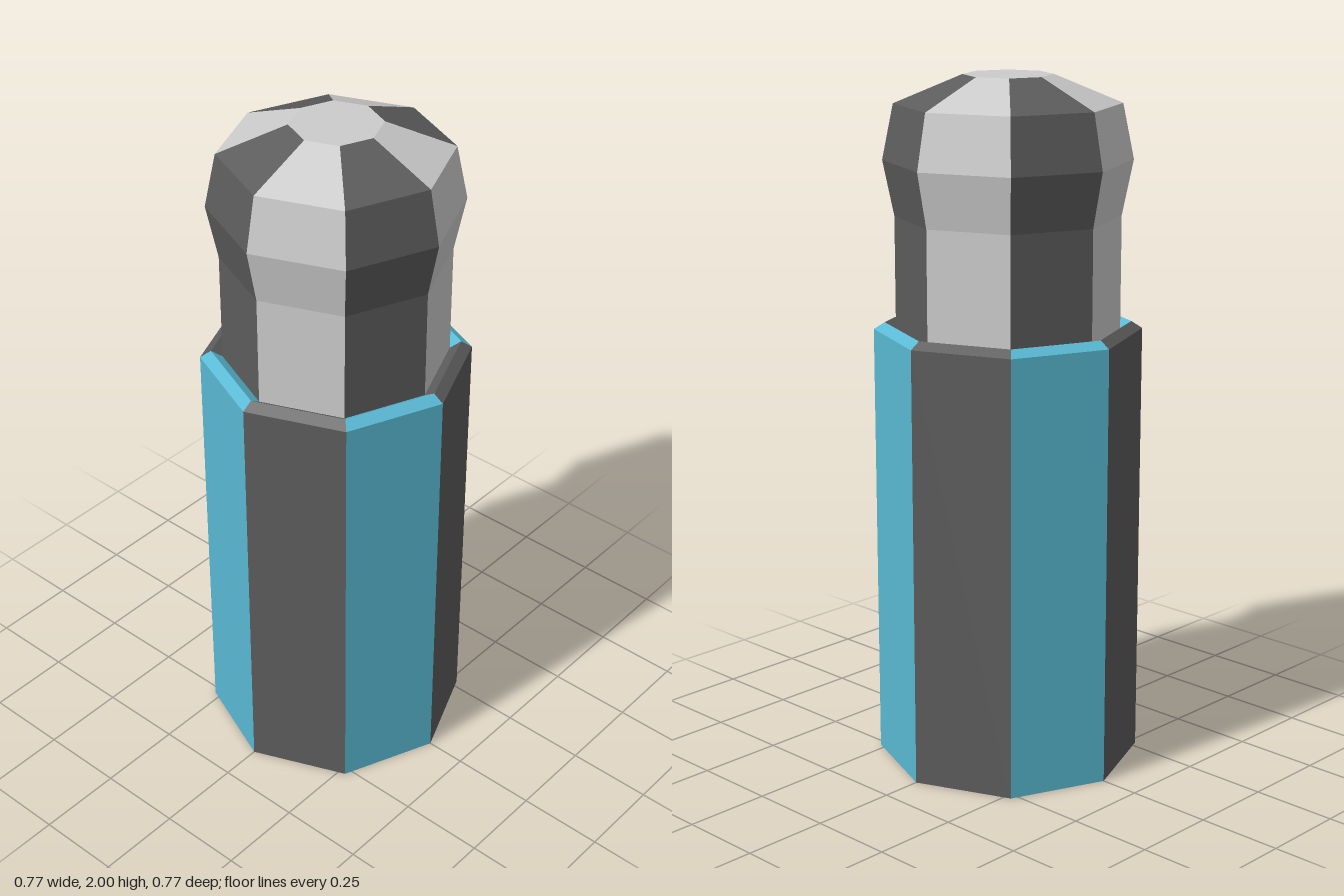
import * as THREE from 'three';
import { mergeGeometries } from 'three/addons/utils/BufferGeometryUtils.js';

const SIDES = 8;
const STEP = (Math.PI * 2) / SIDES;

// Every second facet of an octagonal lathe, starting at facet 0 or 1
function facets(profile, start) {
  const points = profile.map(([r, y]) => new THREE.Vector2(r, y));
  const parts = [];
  for (let i = start; i < SIDES; i += 2) {
    parts.push(new THREE.LatheGeometry(points, 1, i * STEP, STEP));
  }
  return mergeGeometries(parts);
}

export function createModel() {
  const model = new THREE.Group();
  const paint = (color) => new THREE.MeshStandardMaterial({ color, flatShading: true });
  const light = paint(0xcccccc);
  const dark = paint(0x5c5c5c);
  const blue = paint(0x59b9d3);

  const add = (parent, name, geometry, material) => {
    const mesh = new THREE.Mesh(geometry, material);
    mesh.name = name;
    parent.add(mesh);
    return mesh;
  };

  // Body: hollowed foot, straight sides and a bevelled rim
  const body = new THREE.Group();
  body.name = 'body';
  const bodyProfile = [[0.265, 0.07], [0.383, 0], [0.383, 1.28], [0.352, 1.3], [0.32, 1.28]];
  add(body, 'bodyDarkPanels', facets(bodyProfile, 0), dark);
  add(body, 'bodyBluePanels', facets(bodyProfile, 1), blue);
  const base = add(body, 'baseRecess', new THREE.CircleGeometry(0.265, SIDES), blue);
  base.rotation.x = Math.PI / 2;
  base.position.y = 0.07;

  // Cap: straight neck, bulging head and sloped top
  const cap = new THREE.Group();
  cap.name = 'cap';
  const capProfile = [[0.32, 1.28], [0.32, 1.605], [0.352, 1.763], [0.32, 1.92], [0.127, 2]];
  add(cap, 'capLightPanels', facets(capProfile, 0), light);
  add(cap, 'capDarkPanels', facets(capProfile, 1), dark);
  const top = add(cap, 'capTop', new THREE.CircleGeometry(0.127, SIDES), light);
  top.rotation.x = -Math.PI / 2;
  top.position.y = 2;

  model.add(body, cap);
  return model;
}
